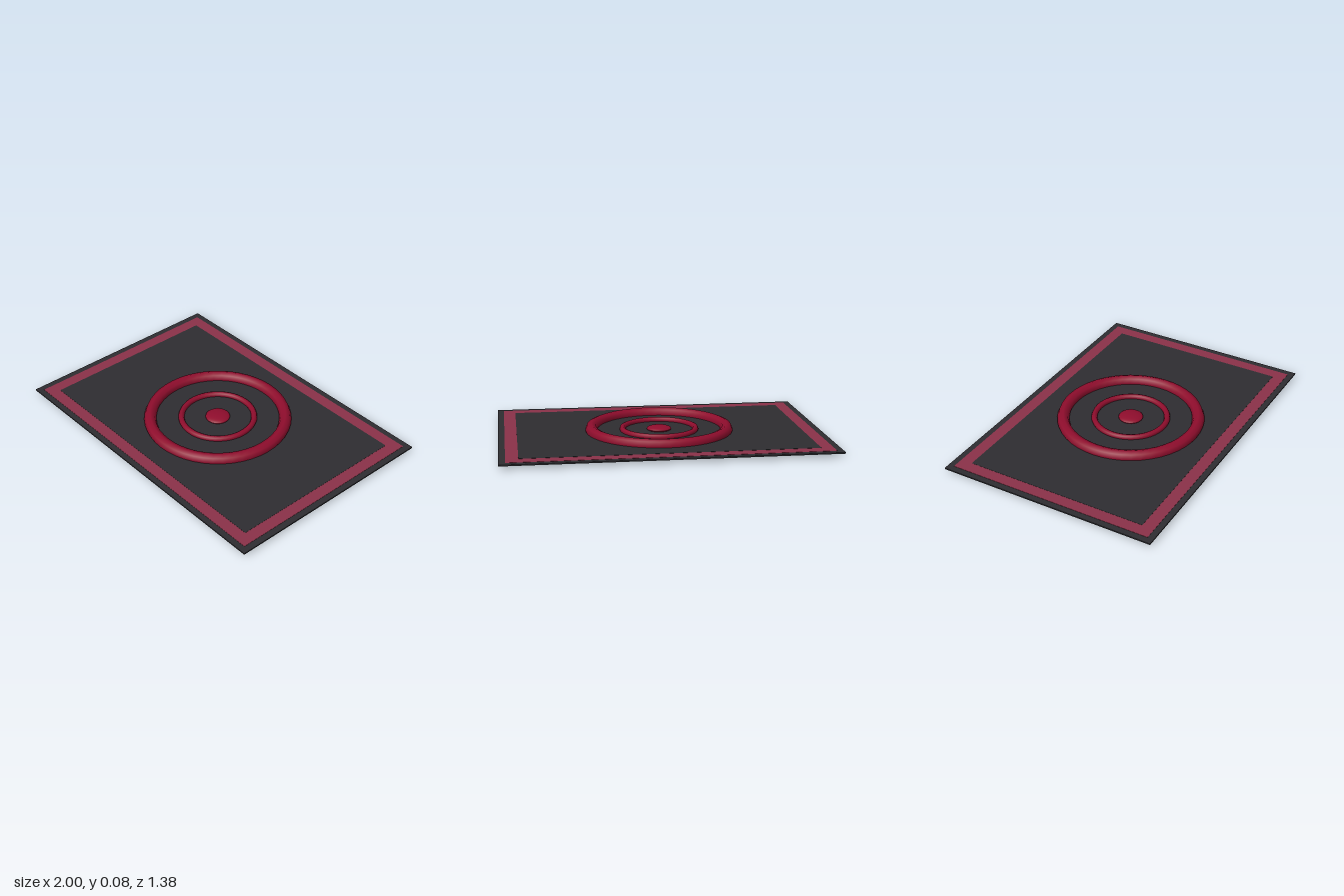
import * as THREE from 'three';

export function createModel() {
  const group = new THREE.Group();
  const material = (color) => new THREE.MeshStandardMaterial({ color });
  const dark = material(0x2e2d31);
  const red = material(0x900d2d);
  const rose = material(0x8b3249);

  const add = (name, geometry, mat, y) => {
    const mesh = new THREE.Mesh(geometry, mat);
    mesh.name = name;
    mesh.position.y = y;
    group.add(mesh);
    return mesh;
  };

  // Thin stacked mat layers: each one is smaller and slightly thicker
  const layers = [
    ['matBase', 2, 1.38, 0.008, dark],
    ['matBorder', 1.92, 1.305, 0.011, rose],
    ['matField', 1.77, 1.155, 0.013, dark],
  ];
  for (const [name, width, depth, height, mat] of layers) {
    add(name, new THREE.BoxGeometry(width, height, depth), mat, 0.0245);
  }

  // Concentric rings lying flat
  const rings = [
    ['outerRing', 0.4225, 0.0385],
    ['innerRing', 0.228, 0.019],
  ];
  for (const [name, radius, tube] of rings) {
    const geometry = new THREE.TorusGeometry(radius, tube, 8, 48).rotateX(Math.PI / 2);
    add(name, geometry, red, 0.0385);
  }

  // Flattened central dome
  add('centreBoss', new THREE.SphereGeometry(0.077, 32, 16), red, 0.0385).scale.y = 0.25;

  return group;
}
